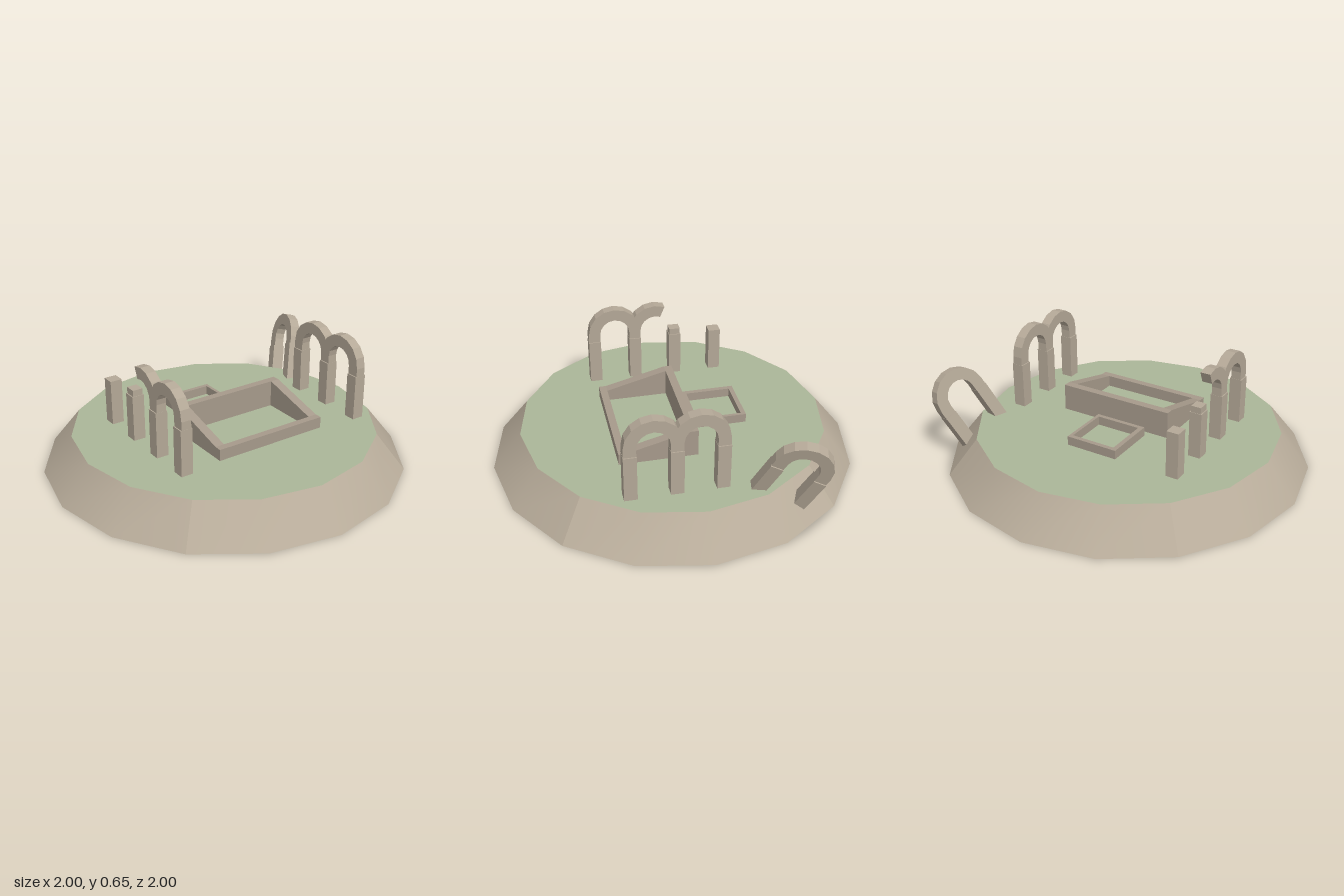
import * as THREE from 'three';

const mat = (color, extra = {}) => new THREE.MeshStandardMaterial({ color, ...extra });
const earth = mat(0xb8ac9a);
const grass = mat(0xabb698);
const stone = mat(0xb4a897, { flatShading: true });
const timber = mat(0xa69a8b, { flatShading: true });
const grey = mat(0xcccccc);

const GROUND = 0.2;   // height of the mound top
const JOINT = 0.455;  // height where an arch sits on its posts
const SPAN = 0.235;   // distance between posts

function add(parent, name, geometry, material, x = 0, y = 0, z = 0) {
  const mesh = new THREE.Mesh(geometry, material);
  mesh.name = name;
  mesh.position.set(x, y, z);
  parent.add(mesh);
  return mesh;
}

function box(parent, name, material, x0, x1, y0, y1, z0, z1) {
  return add(parent, name, new THREE.BoxGeometry(x1 - x0, y1 - y0, z1 - z0), material,
    (x0 + x1) / 2, (y0 + y1) / 2, (z0 + z1) / 2);
}

// Arch in the xy plane, starting at +x; steps of 8 make the full half circle
function archGeometry(steps = 8) {
  const rise = 0.045, outer = SPAN / 2 + 0.033, inner = SPAN / 2 - 0.033;
  const arc = (r) => {
    const pts = [new THREE.Vector2(r, 0)];
    for (let i = 0; i <= steps; i++) {
      const a = (i / 8) * Math.PI;
      pts.push(new THREE.Vector2(r * Math.cos(a), rise + r * Math.sin(a)));
    }
    if (steps === 8) pts.push(new THREE.Vector2(-r, 0));
    return pts;
  };
  const shape = new THREE.Shape([...arc(outer), ...arc(inner).reverse()]);
  return new THREE.ExtrudeGeometry(shape, { depth: 0.056, bevelEnabled: false }).translate(0, 0, -0.028);
}

function post(parent, x, z, top = JOINT) {
  box(parent, 'post', stone, x - 0.034, x + 0.034, GROUND - 0.02, top, z - 0.034, z + 0.034);
}

function uprightArch(parent, name, x, z, steps) {
  add(parent, name, archGeometry(steps), stone, x, JOINT, z).rotation.y = -Math.PI / 2;
}

function mound() {
  const g = new THREE.Group();
  g.name = 'mound';
  // four quarters, smooth inside and creased where they meet
  for (let i = 0; i < 4; i++) {
    const side = new THREE.CylinderGeometry(0.84, 1, GROUND, 4, 1, true, Math.PI / 4 + i * Math.PI / 2, Math.PI / 2);
    side.computeVertexNormals();
    add(g, 'slope', side, earth, 0, GROUND / 2, 0);
  }
  add(g, 'lawn', new THREE.CircleGeometry(0.84, 16).rotateX(-Math.PI / 2), grass, 0, GROUND, 0);
  // underside in wedges: first sixteenth, number of sixteenths, material
  for (const [start, count, m] of [[-2, 1, grass], [-8, 3, grass], [-1, 9, grey], [-5, 3, grey]]) {
    const step = Math.PI / 8;
    add(g, 'underside', new THREE.CircleGeometry(1, count, start * step, count * step).rotateX(Math.PI / 2), m);
  }
  return g;
}

function slopedFrame() {
  const g = new THREE.Group();
  g.name = 'slopedFrame';
  const x0 = -0.277, x1 = 0.387, y0 = 0.205, low = 0.268, high = 0.355;
  box(g, 'backWall', timber, x0, x1, y0, high, -0.057, -0.013);
  box(g, 'frontWall', timber, x0, x1, y0, low, 0.325, 0.365);
  // side walls fall from the back wall to the front wall
  const profile = new THREE.Shape([[-0.013, y0], [0.325, y0], [0.325, low], [-0.013, high]]
    .map(([z, y]) => new THREE.Vector2(-z, y)));
  for (const x of [x0, x1 - 0.052]) {
    const side = new THREE.ExtrudeGeometry(profile, { depth: 0.052, bevelEnabled: false });
    add(g, 'sideWall', side.rotateY(Math.PI / 2), timber, x, 0, 0);
  }
  return g;
}

function lowFrame() {
  const g = new THREE.Group();
  g.name = 'lowFrame';
  const rect = (P, x0, x1, z0, z1) => new P([[x0, -z1], [x1, -z1], [x1, -z0], [x0, -z0]]
    .map(([x, y]) => new THREE.Vector2(x, y)));
  const shape = rect(THREE.Shape, -0.153, 0.143, -0.385, -0.088);
  shape.holes.push(rect(THREE.Path, -0.127, 0.125, -0.36, -0.112));
  const geo = new THREE.ExtrudeGeometry(shape, { depth: 0.05, bevelEnabled: false }).rotateX(-Math.PI / 2);
  add(g, 'frame', geo, timber, 0, GROUND, 0);
  return g;
}

function leaningArch() {
  const g = new THREE.Group();
  g.name = 'leaningArch';
  add(g, 'arch', archGeometry(), stone);
  for (const s of [-1, 1]) {
    box(g, 'leg', stone, s * SPAN / 2 - 0.034, s * SPAN / 2 + 0.034, -0.255, 0, -0.034, 0.034);
  }
  const up = new THREE.Vector3(0.327, 0.883, -0.335).normalize();
  const across = new THREE.Vector3(0.05, -0.085, -0.22);
  across.addScaledVector(up, -across.dot(up)).normalize();
  const m = new THREE.Matrix4().makeBasis(across, up, across.clone().cross(up));
  g.quaternion.setFromRotationMatrix(m);
  g.position.set(0.785, 0.328, -0.462);
  return g;
}

export function createModel() {
  const model = new THREE.Group();
  model.add(mound(), slopedFrame(), lowFrame(), leaningArch());

  // whole row: three posts and two arches
  const left = new THREE.Group();
  left.name = 'leftArcade';
  for (const z of [0.353, 0.118, -0.117]) post(left, 0.642, z);
  for (const z of [0.2355, 0.0005]) uprightArch(left, 'arch', 0.642, z);

  // ruined row: one whole arch, one broken arch and two lone posts
  const right = new THREE.Group();
  right.name = 'ruinedArcade';
  for (const z of [0.353, 0.118, -0.117, -0.356]) post(right, -0.488, z);
  uprightArch(right, 'arch', -0.488, 0.2355);
  uprightArch(right, 'brokenArch', -0.488, 0.0005, 5);
  box(right, 'archStub', stone, -0.516, -0.46, JOINT, JOINT + 0.035, -0.148, -0.086);

  model.add(left, right);
  return model;
}
